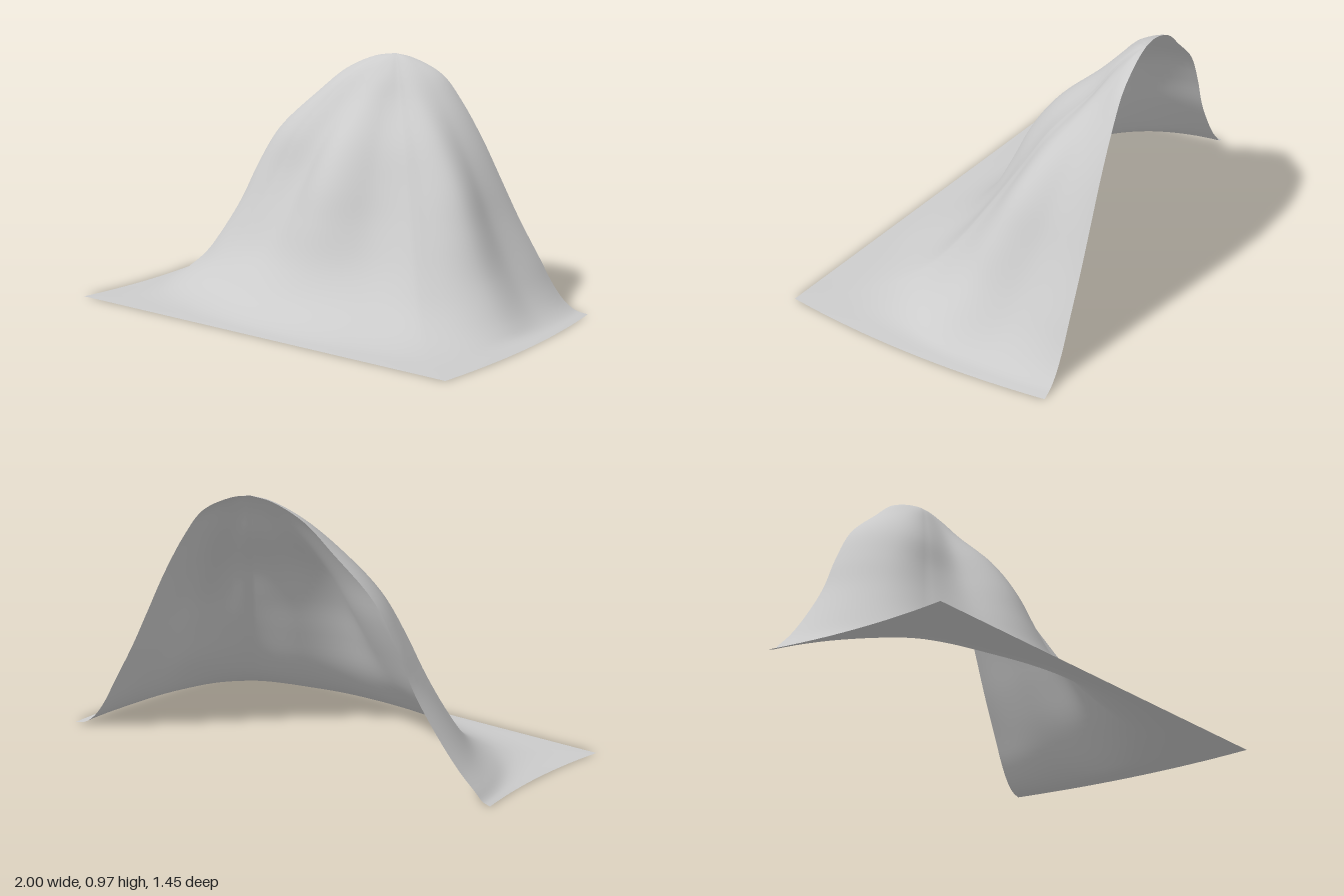
import * as THREE from 'three';
import { mergeVertices } from 'three/addons/utils/BufferGeometryUtils.js';

const v2 = (x, z) => new THREE.Vector2(x, z);
const PEAK = v2(0.18, -0.503);
const PEAK_HEIGHT = 0.974;

// Outline of the sheet; the straight back edge passes under the peak
const leftEdge = new THREE.QuadraticBezierCurve(v2(-0.76, -0.73), v2(-0.83, -0.37), v2(-1, -0.05));
const frontEdge = new THREE.LineCurve(v2(-1, -0.05), v2(0.64, 0.72));
const rightEdge = new THREE.QuadraticBezierCurve(v2(0.64, 0.72), v2(0.89, 0.24), v2(1, -0.3));

// Contour heights, and how far from the peak each spoke reaches them
const HEIGHTS = [0.96, 0.9, 0.8, 0.65, 0.5, 0.35, 0.2, 0.1, 0.04, 0.01];
const SPOKES = [
  [0.09, 0.225, 0.345, 0.51, 0.6, 0.67, 0.77, 0.85, 0.91, 0.94], // back left
  [0.07, 0.19, 0.32, 0.47, 0.56, 0.635, 0.725, 0.80, 0.88, 0.94],
  [0.055, 0.16, 0.27, 0.40, 0.475, 0.56, 0.655, 0.75, 0.85, 0.96], // front left corner
  [0.045, 0.125, 0.215, 0.325, 0.405, 0.49, 0.585, 0.69, 0.78, 0.87],
  [0.037, 0.105, 0.20, 0.355, 0.46, 0.53, 0.60, 0.68, 0.765, 0.84],
  [0.035, 0.10, 0.18, 0.32, 0.42, 0.505, 0.605, 0.71, 0.82, 0.92],
  [0.037, 0.105, 0.19, 0.345, 0.455, 0.565, 0.685, 0.79, 0.90, 1.03], // front right corner
  [0.045, 0.13, 0.235, 0.395, 0.525, 0.62, 0.715, 0.805, 0.875, 0.93],
  [0.065, 0.165, 0.26, 0.375, 0.47, 0.55, 0.64, 0.715, 0.78, 0.835],
  [0.08, 0.21, 0.295, 0.39, 0.47, 0.55, 0.64, 0.70, 0.75, 0.795], // back right
];
const LAST = SPOKES.length - 1;

function outlineAt(s) {
  if (s <= 2) return leftEdge.getPoint(s / 2);
  if (s <= 6) return frontEdge.getPoint((s - 2) / 4);
  return rightEdge.getPoint(Math.pow((s - 6) / 3, 0.75));
}

// Smooth blend of one contour's reach between neighbouring spokes
function reach(level, s) {
  const i = Math.min(Math.floor(s), LAST - 1), t = s - i;
  const at = (k) => SPOKES[THREE.MathUtils.clamp(k, 0, LAST)][level];
  const a = at(i - 1), b = at(i), c = at(i + 1), d = at(i + 2);
  return b + 0.5 * t * (c - a + t * (2 * a - 5 * b + 4 * c - d + t * (3 * (b - c) + d - a)));
}

// Slope running from the peak out to the rim along one spoke
function slopeCurve(s) {
  const rim = outlineAt(s);
  const dir = rim.clone().sub(PEAK);
  const length = dir.length();
  dir.normalize();
  const points = [new THREE.Vector3(PEAK.x, PEAK_HEIGHT, PEAK.y)];
  HEIGHTS.forEach((h, level) => {
    const r = Math.min(reach(level, s), length * 0.98);
    points.push(new THREE.Vector3(PEAK.x + dir.x * r, h, PEAK.y + dir.y * r));
  });
  points.push(new THREE.Vector3(rim.x, 0, rim.y));
  return new THREE.CatmullRomCurve3(points, false, 'centripetal');
}

function mountainGeometry() {
  const across = LAST * 8, down = 55;
  const positions = [], index = [];
  for (let i = 0; i <= across; i++) {
    const curve = slopeCurve(i / 8);
    for (let j = 0; j <= down; j++) {
      const p = curve.getPoint(j / down);
      positions.push(p.x, Math.max(0, p.y), p.z);
    }
  }
  for (let i = 0; i < across; i++) {
    for (let j = 0; j < down; j++) {
      const a = i * (down + 1) + j, b = a + down + 1;
      if (j > 0) index.push(a, a + 1, b);
      index.push(b, a + 1, b + 1);
    }
  }
  const geometry = new THREE.BufferGeometry();
  geometry.setAttribute('position', new THREE.Float32BufferAttribute(positions, 3));
  geometry.setIndex(index);
  const merged = mergeVertices(geometry, 1e-4);
  merged.computeVertexNormals();
  return merged;
}

export function createModel() {
  const group = new THREE.Group();
  group.name = 'mountain';
  // Open terrain sheet, hollow underneath
  const material = new THREE.MeshStandardMaterial({ color: 0xcccccc, side: THREE.DoubleSide });
  const terrain = new THREE.Mesh(mountainGeometry(), material);
  terrain.name = 'mountainSlope';
  group.add(terrain);
  return group;
}
